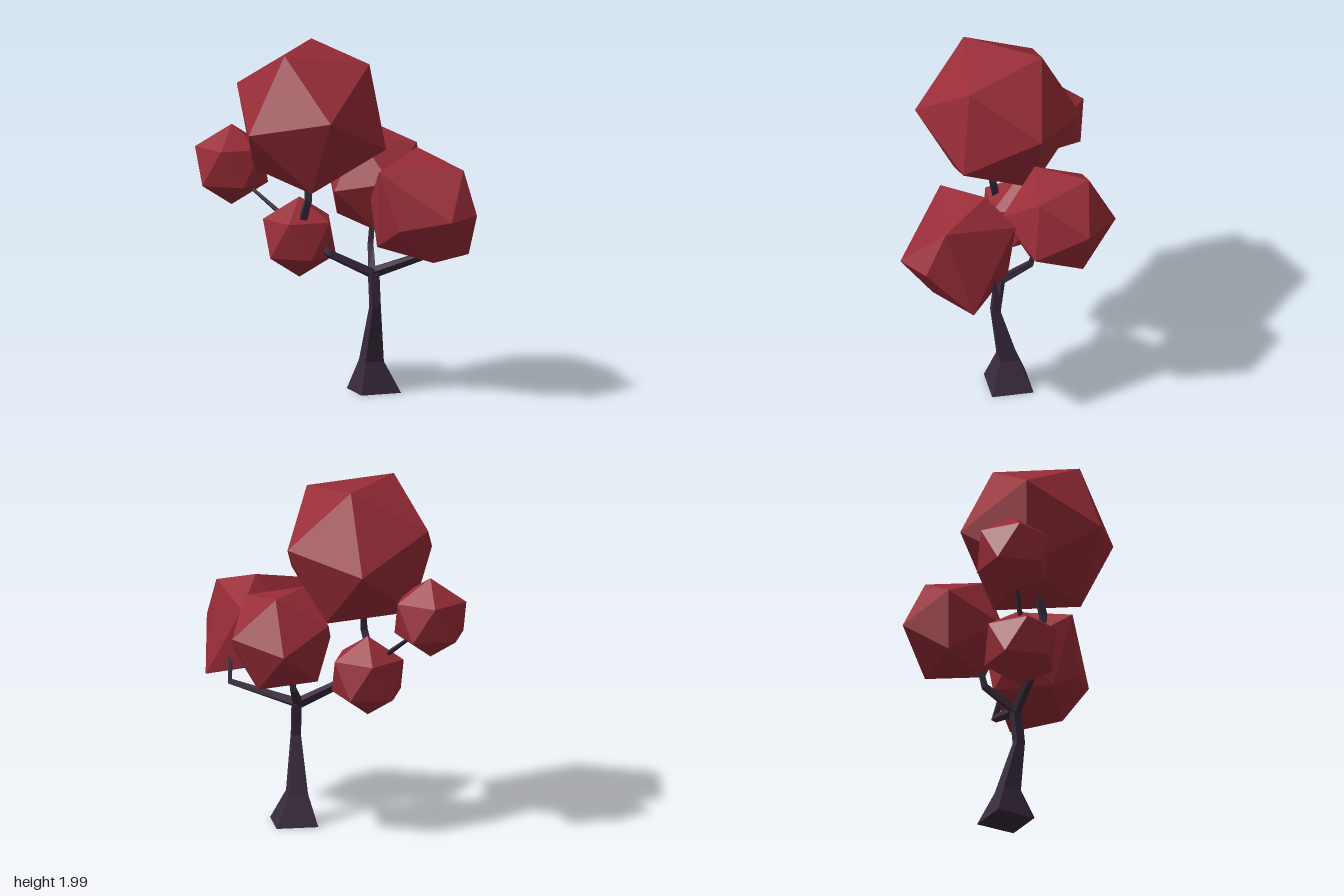
import * as THREE from 'three';
import { ConvexGeometry } from 'three/addons/geometries/ConvexGeometry.js';

const V = (p) => new THREE.Vector3(...p);
const leaf = new THREE.MeshStandardMaterial({ color: 0x982c37, flatShading: true });
const bark = new THREE.MeshStandardMaterial({ color: 0x382a3b, flatShading: true });

// Orthonormal frame whose x axis is a and whose xy plane holds b
function frame(a, b) {
  const x = V(a).normalize();
  const z = new THREE.Vector3().crossVectors(x, V(b)).normalize();
  return new THREE.Matrix4().makeBasis(x, new THREE.Vector3().crossVectors(z, x), z);
}

// Icosahedron turned so that two neighbouring corners point along a and b
function foliageBall(center, radius, a, b) {
  const t = (1 + Math.sqrt(5)) / 2;
  const source = frame([-1, t, 0], [1, t, 0]).transpose();
  const g = new THREE.IcosahedronGeometry(radius, 0);
  g.applyMatrix4(frame(a, b).multiply(source));
  g.translate(...center);
  g.computeVertexNormals();
  return g;
}

// Four-sided limb through rings [x, y, z, radius]; level keeps the rings horizontal
function limb(rings, { level = false, turn = 0 } = {}) {
  const pos = [], idx = [], n = 4;
  const pts = rings.map(V3);
  rings.forEach((r, i) => {
    const t = level ? V([0, 1, 0])
      : pts[Math.min(i + 1, pts.length - 1)].clone().sub(pts[Math.max(i - 1, 0)]).normalize();
    const u = V([0, 0, 1]).addScaledVector(t, -t.z).normalize();
    const v = new THREE.Vector3().crossVectors(t, u);
    for (let k = 0; k < n; k++) {
      const a = turn + (k / n) * Math.PI * 2;
      const p = pts[i].clone().addScaledVector(u, r[3] * Math.cos(a)).addScaledVector(v, r[3] * Math.sin(a));
      pos.push(p.x, p.y, p.z);
      if (i > 0) {
        const c = (i - 1) * n + k, d = (i - 1) * n + ((k + 1) % n);
        idx.push(c, d, d + n, c, d + n, c + n);
      }
    }
  });
  // End caps
  const e = (rings.length - 1) * n;
  idx.push(0, 2, 1, 0, 3, 2, e, e + 1, e + 2, e, e + 2, e + 3);
  const g = new THREE.BufferGeometry();
  g.setAttribute('position', new THREE.Float32BufferAttribute(pos, 3));
  g.setIndex(idx);
  const flat = g.toNonIndexed();
  flat.computeVertexNormals();
  return flat;
}
function V3(r) { return new THREE.Vector3(r[0], r[1], r[2]); }

export function createModel() {
  const tree = new THREE.Group();
  tree.name = 'tree';
  const add = (name, geometry, material) => {
    const m = new THREE.Mesh(geometry, material);
    m.name = name;
    tree.add(m);
  };

  // Flared, bent trunk
  add('trunk', limb([
    [0.107, 0.005, -0.1, 0.168], [0.1, 0.18, -0.085, 0.077],
    [0.155, 0.5, -0.042, 0.036], [0.135, 0.71, -0.055, 0.036],
  ], { level: true, turn: 0.18 }), bark);

  // Branches, each kinked on its way into the foliage
  const branches = {
    leftBranch: [[0.13, 0.69, -0.05, 0.032], [0.41, 0.81, -0.31, 0.023], [0.44, 0.97, -0.28, 0.02]],
    backBranch: [[0.13, 0.69, -0.05, 0.03], [0.02, 0.82, -0.19, 0.022], [0.01, 1.0, -0.23, 0.018]],
    frontBranch: [[0.14, 0.68, -0.06, 0.032], [-0.04, 0.81, 0.13, 0.026], [-0.15, 0.9, 0.18, 0.024]],
    topBranch: [[-0.2, 0.88, 0.17, 0.028], [-0.14, 1.02, 0.24, 0.027], [-0.11, 1.12, 0.235, 0.026], [-0.14, 1.32, 0.2, 0.022]],
    rightTwig: [[-0.24, 0.95, 0.17, 0.022], [-0.34, 1.03, 0.2, 0.015], [-0.57, 1.22, 0.27, 0.008]],
  };
  for (const [name, rings] of Object.entries(branches)) add(name, limb(rings), bark);

  // Foliage clumps
  add('topFoliage', foliageBall([-0.115, 1.6, 0.197], 0.47, [-0.145, 0.4, -0.207], [0.005, 0.38, 0.273]), leaf);
  add('backFoliage', foliageBall([-0.045, 1.17, -0.345], 0.322, [0.075, 0.04, -0.31], [-0.105, 0.28, -0.13]), leaf);
  add('rightFoliage', foliageBall([-0.605, 1.285, 0.28], 0.23, [0, 1, 0], [1, 0.5, 0]), leaf);
  add('lowerFoliage', foliageBall([-0.23, 0.89, 0.15], 0.23, [0, 1, 0], [1, 0.5, 0]), leaf);

  // Irregular faceted clump on the left
  add('leftFoliage', new ConvexGeometry([
    [0.36, 1.42, -0.16], [0.68, 1.32, -0.16], [0.8, 1.08, -0.12], [0.78, 1.07, 0.1],
    [0.35, 1.33, 0.2], [0.48, 1.0, 0.18], [0.275, 0.88, 0.11], [0.6, 0.81, 0.02],
    [0.61, 0.81, -0.31], [0.29, 1.26, -0.33], [0.14, 1.12, -0.02], [0.28, 0.92, -0.26],
  ].map(V)), leaf);

  return tree;
}
